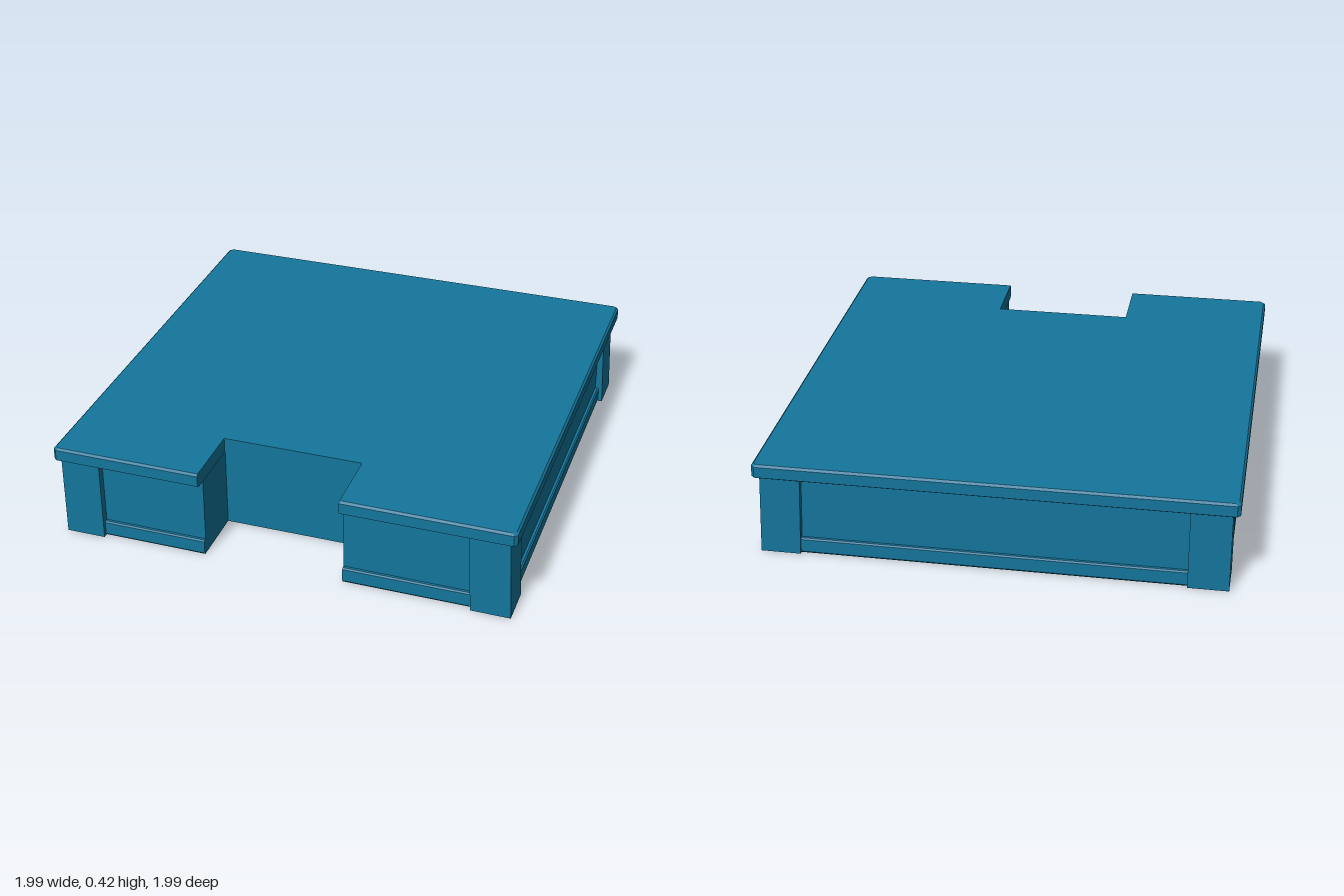
import * as THREE from 'three';

const NOTCH = { x0: -0.345, x1: 0.265, z: 0.7 };

// Square plan with chamfered corners and a notch in the front edge, as [x, z]
function outline(half, c) {
  const h = half, { x0, x1, z } = NOTCH;
  return [
    [x0, h], [x0, z], [x1, z], [x1, h],
    [h - c, h], [h, h - c], [h, c - h], [h - c, -h],
    [c - h, -h], [-h, c - h], [-h, h - c], [c - h, h],
  ];
}

// Stack of outlines [half, y] joined by flat walls and closed by caps
function loft(levels, chamfer) {
  const pos = [];
  const rings = levels.map(([half, y]) =>
    outline(half, chamfer).map(([x, z]) => [x, y, z]));
  for (let l = 0; l < rings.length - 1; l++) {
    const a = rings[l], b = rings[l + 1];
    for (let i = 0; i < a.length; i++) {
      const j = (i + 1) % a.length;
      pos.push(...a[i], ...a[j], ...b[j], ...a[i], ...b[j], ...b[i]);
    }
  }
  const bottom = rings[0], top = rings[rings.length - 1];
  const flat = top.map(p => new THREE.Vector2(p[0], -p[2]));
  for (const [i, j, k] of THREE.ShapeUtils.triangulateShape(flat, [])) {
    pos.push(...top[i], ...top[j], ...top[k]);
    pos.push(...bottom[k], ...bottom[j], ...bottom[i]);
  }
  const g = new THREE.BufferGeometry();
  g.setAttribute('position', new THREE.Float32BufferAttribute(pos, 3));
  g.computeVertexNormals();
  return g;
}

// Corner post; lean shifts its top sideways
function postGeometry(x0, x1, z0, z1, height, lean) {
  const g = new THREE.BoxGeometry(x1 - x0, height, z1 - z0);
  g.translate((x0 + x1) / 2, height / 2, (z0 + z1) / 2);
  const p = g.attributes.position;
  for (let i = 0; i < p.count; i++) {
    p.setX(i, p.getX(i) + lean * p.getY(i) / height);
  }
  g.computeVertexNormals();
  return g;
}

export function createModel() {
  const group = new THREE.Group();
  const material = new THREE.MeshStandardMaterial({ color: 0x14769c, flatShading: true });
  const add = (name, geometry) => {
    const mesh = new THREE.Mesh(geometry, material);
    mesh.name = name;
    group.add(mesh);
    return mesh;
  };

  // Overhanging top slab with softened edges
  const slab = add('topSlab', loft([[0.985, 0.355], [0.997, 0.363], [0.997, 0.411], [0.988, 0.42]], 0.014));
  slab.position.x = -0.002;

  // Recessed side panels and the trim round the foot
  add('sidePanels', loft([[0.946, 0.07], [0.946, 0.355]], 0.01));
  add('baseTrim', loft([[0.957, 0], [0.963, 0.008], [0.963, 0.064], [0.957, 0.07]], 0.01));

  // Corner posts; those on the left lean in slightly
  for (const front of [true, false]) {
    const z0 = front ? 0.81 : -0.972, z1 = front ? 0.98 : -0.802;
    const side = front ? 'front' : 'back';
    add(side + 'LeftPost', postGeometry(0.813, 0.982, z0, z1, 0.355, -0.015));
    add(side + 'RightPost', postGeometry(-0.97, -0.8, z0, z1, 0.355, 0));
  }
  return group;
}
